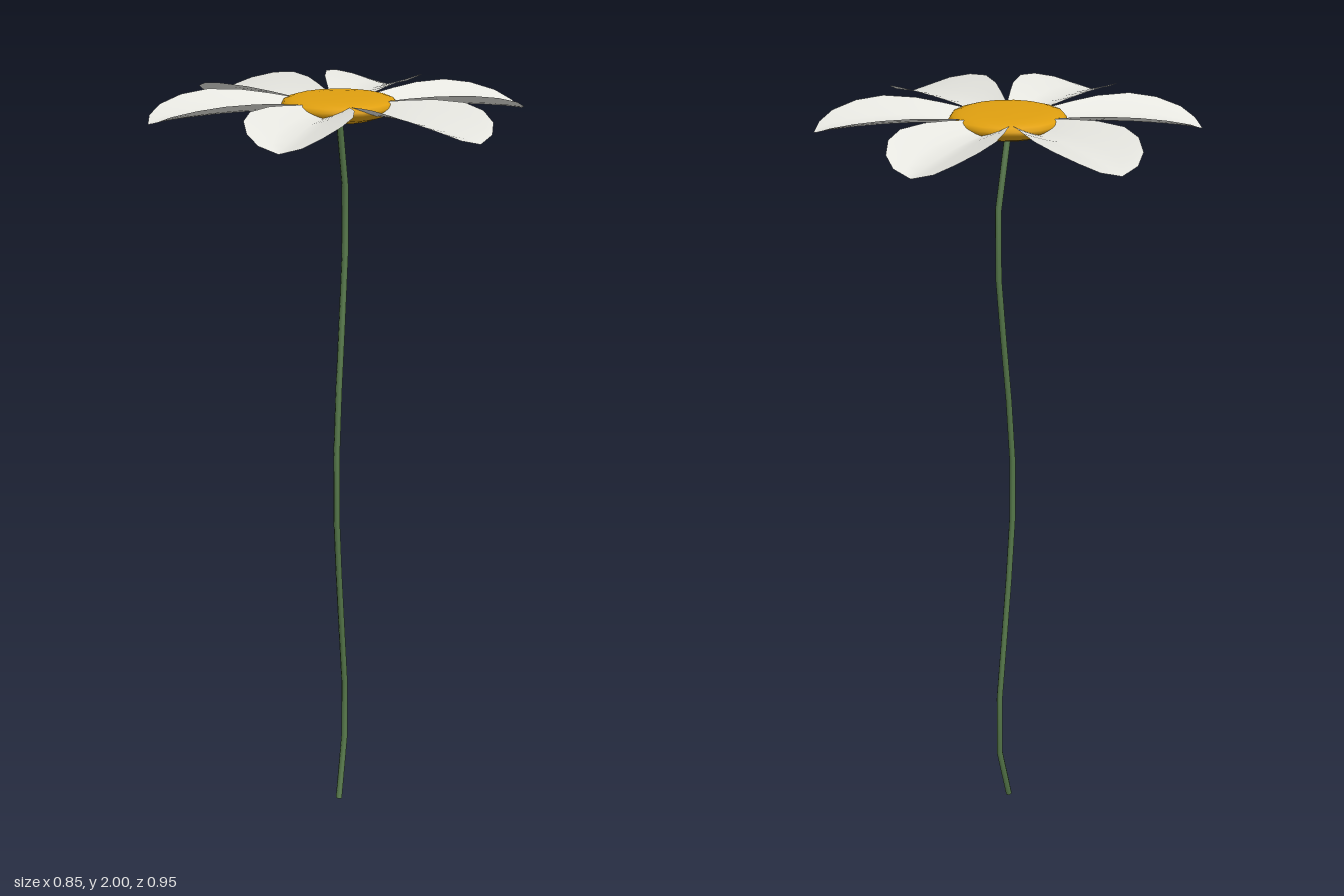
import * as THREE from 'three';

const mat = (name, color, side = THREE.FrontSide) => {
  const m = new THREE.MeshStandardMaterial({ color, side });
  m.name = name;
  return m;
};

// Polyline with one tube ring per point
class BentLine extends THREE.Curve {
  constructor(points) {
    super();
    this.points = points;
  }
  getPoint(t, target = new THREE.Vector3()) {
    const n = this.points.length - 1;
    const f = THREE.MathUtils.clamp(t, 0, 1) * n;
    const i = Math.min(Math.floor(f), n - 1);
    return target.lerpVectors(this.points[i], this.points[i + 1], f - i);
  }
  getPointAt(t, target) { return this.getPoint(t, target); }
  getTangentAt(t, target) { return this.getTangent(t, target); }
}

// Petal rows: distance from centre, half width, midline height, edge lift
const PETAL_ROWS = [
  [0.105, 0.058, 1.958, 0.026],
  [0.160, 0.080, 1.961, 0.031],
  [0.225, 0.105, 1.963, 0.036],
  [0.305, 0.125, 1.960, 0.040],
  [0.372, 0.118, 1.955, 0.036],
  [0.430, 0.090, 1.949, 0.025],
  [0.462, 0.052, 1.944, 0.011],
  [0.473, 0.002, 1.942, 0.000],
];

// Trough-shaped petal pointing along +z
function petalGeometry() {
  const cols = 6, pos = [], idx = [];
  for (const [r, w, y, lift] of PETAL_ROWS) {
    for (let c = 0; c <= cols; c++) {
      const s = (c / cols) * 2 - 1;
      pos.push(s * w, y + lift * Math.abs(s) ** 1.2, r);
    }
  }
  for (let i = 0; i < PETAL_ROWS.length - 1; i++) {
    for (let c = 0; c < cols; c++) {
      const a = i * (cols + 1) + c, b = a + cols + 1;
      idx.push(a, b, a + 1, a + 1, b, b + 1);
    }
  }
  const g = new THREE.BufferGeometry();
  g.setAttribute('position', new THREE.Float32BufferAttribute(pos, 3));
  g.setIndex(idx);
  g.computeVertexNormals();
  return g;
}

export function createModel() {
  const flower = new THREE.Group();
  flower.name = 'flower';
  const white = mat('petal white', 0xe8e8e2, THREE.DoubleSide);
  const yellow = mat('centre yellow', 0xe0a010);
  const green = mat('stem green', 0x56784a);

  // Wavy stem, as [y, z]
  const path = [
    [0.003, 0], [0.175, -0.055], [0.35, -0.055], [0.52, -0.028], [0.70, 0], [0.875, 0.021],
    [1.05, 0.021], [1.23, 0], [1.40, -0.028], [1.58, -0.055], [1.755, -0.055], [1.94, -0.002],
  ].map(([y, z]) => new THREE.Vector3(0, y, z));
  const stem = new THREE.Mesh(
    new THREE.TubeGeometry(new BentLine(path), path.length - 1, 0.009, 6), green);
  stem.name = 'stem';
  flower.add(stem);

  // Flattened round centre
  const profile = [
    [0, 1.93], [0.05, 1.932], [0.09, 1.938], [0.122, 1.949], [0.14, 1.963],
    [0.144, 1.973], [0.137, 1.982], [0.118, 1.988], [0.08, 1.991], [0, 1.992],
  ].map(([r, y]) => new THREE.Vector2(r, y));
  const centre = new THREE.Mesh(new THREE.LatheGeometry(profile, 18), yellow);
  centre.name = 'flowerCentre';
  centre.position.z = -0.004;
  flower.add(centre);

  // Ring of six petals
  const petals = new THREE.Group();
  petals.name = 'petals';
  const geometry = petalGeometry();
  for (let i = 0; i < 6; i++) {
    const petal = new THREE.Mesh(geometry, white);
    petal.name = `petal${i + 1}`;
    petal.rotation.y = (i * Math.PI) / 3;
    petals.add(petal);
  }
  flower.add(petals);
  return flower;
}
